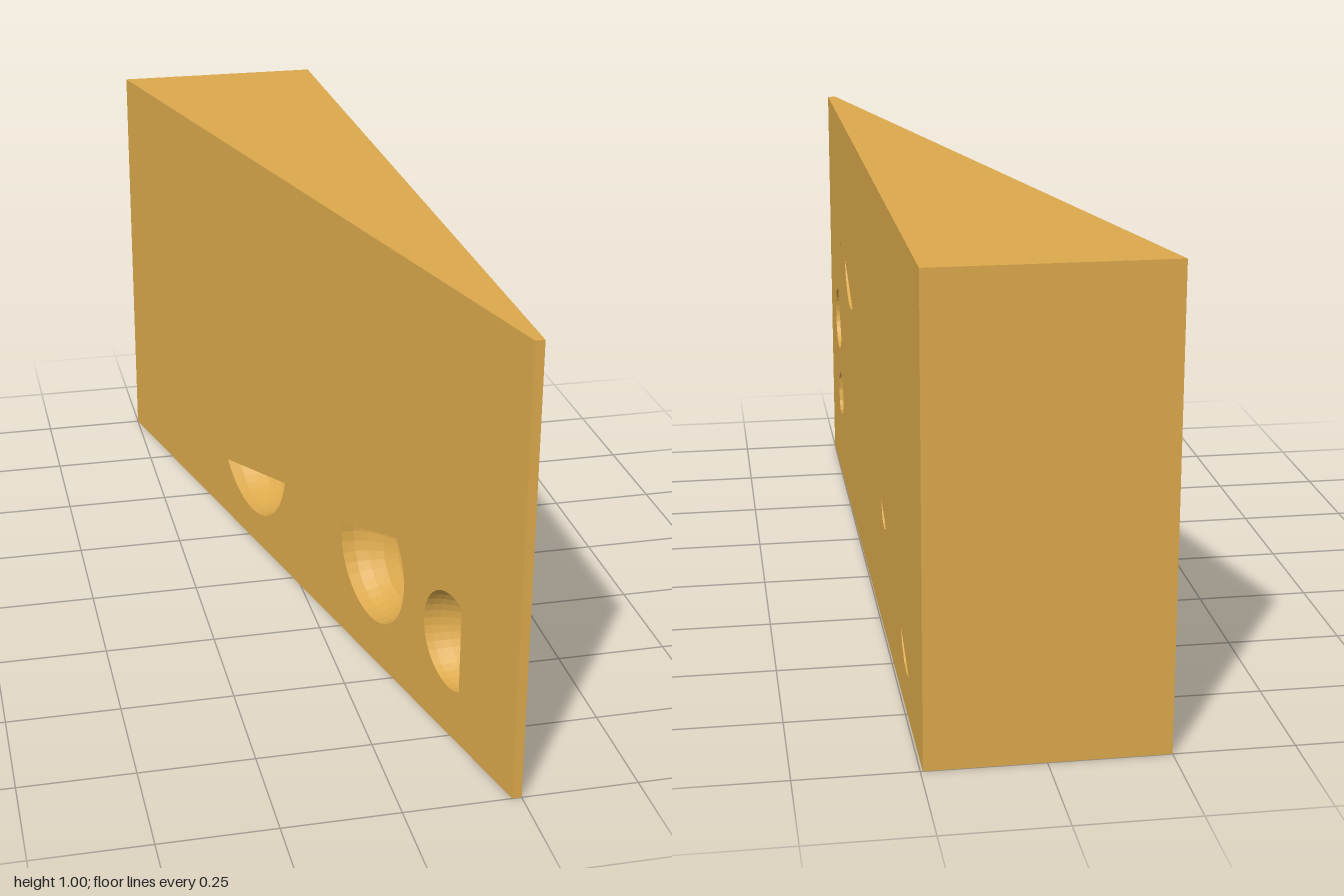
import * as THREE from 'three';

const material = new THREE.MeshStandardMaterial({ color: 0xdba94c, flatShading: true, side: THREE.DoubleSide });

// Wedge footprint as [x, z] corners
const BACK_RIGHT = [-0.25, -1], FRONT_RIGHT = [0.23, 1], FRONT_LEFT = [0.25, 1], BACK_LEFT = [0.245, -1];

function mesh(name, geometry) {
  const m = new THREE.Mesh(geometry, material);
  m.name = name;
  return m;
}

// Frame of an upright face running from footprint corner p to q, outward normal on local z
function faceFrame(p, q) {
  const u = new THREE.Vector3(q[0] - p[0], 0, q[1] - p[1]).normalize();
  const v = new THREE.Vector3(0, 1, 0);
  return new THREE.Matrix4().makeBasis(u, v, u.clone().cross(v)).setPosition(p[0], 0, p[1]);
}

// Flat face of height 1 with hole outlines cut out
function facePanel(name, p, q, outlines = []) {
  const w = Math.hypot(q[0] - p[0], q[1] - p[1]);
  const shape = new THREE.Shape([[0, 0], [w, 0], [w, 1], [0, 1]].map(c => new THREE.Vector2(...c)));
  shape.holes = outlines.map(o => new THREE.Path(o));
  return mesh(name, new THREE.ShapeGeometry(shape).applyMatrix4(faceFrame(p, q)));
}

// Circle segment: an arc in degrees closed by a straight chord
function segmentOutline({ u, v, r, from, to, steps }) {
  const pts = [];
  for (let i = 0; i <= steps; i++) {
    const a = THREE.MathUtils.degToRad(from + (to - from) * i / steps);
    pts.push(new THREE.Vector2(u + r * Math.cos(a), v + r * Math.sin(a)));
  }
  const end = pts[steps], start = pts[0], n = Math.ceil(steps / 3);
  for (let i = 1; i < n; i++) pts.push(end.clone().lerp(start, i / n));
  return pts;
}

// Surface through closed rings of equal point count
function loft(rings) {
  const n = rings[0].length, index = [];
  for (let k = 0; k < rings.length - 1; k++) {
    for (let i = 0; i < n; i++) {
      const a = k * n + i, b = k * n + (i + 1) % n;
      index.push(a, b, a + n, b, b + n, a + n);
    }
  }
  const g = new THREE.BufferGeometry().setFromPoints(rings.flat());
  g.setIndex(index);
  g.computeVertexNormals();
  return g;
}

// Spherical bubble sunk into a face, with a straight wall along its chord
function cavity(name, hole, frame) {
  const outline = segmentOutline(hole);
  const apex = outline.reduce((s, p) => s.add(p), new THREE.Vector2()).divideScalar(outline.length);
  const rings = [outline.map(p => new THREE.Vector3(p.x, p.y, 0))];
  for (const s of [1, 0.97, 0.88, 0.72, 0.5, 0.25, 0]) {
    rings.push(outline.map(p => {
      const c = apex.clone().lerp(p, s);
      const rho = Math.hypot(c.x - hole.u, c.y - hole.v) / hole.r;
      return new THREE.Vector3(c.x, c.y, -hole.depth * Math.sqrt(Math.max(0, 1 - rho * rho)));
    }));
  }
  return mesh(name, loft(rings).applyMatrix4(frame));
}

export function createModel() {
  const group = new THREE.Group();
  group.name = 'cheeseWedge';

  const slantFrame = faceFrame(BACK_RIGHT, FRONT_RIGHT);
  const sideFrame = faceFrame(FRONT_LEFT, BACK_LEFT);

  // Bubbles in the slanted face and in the straight side face
  const slantHoles = [
    { u: 0.793, v: 0.273, r: 0.193, from: -142, to: -11, steps: 18, depth: 0.15 },
    { u: 1.436, v: 0.25, r: 0.15, from: 172, to: 403, steps: 24, depth: 0.12 },
  ];
  const sideHoles = [
    { u: 0.215, v: 0.432, r: 0.081, from: 86, to: 334, steps: 24, depth: 0.05 },
    { u: 0.575, v: 0.698, r: 0.143, from: 198, to: 297, steps: 14, depth: 0.1 },
    { u: 1.335, v: 0.304, r: 0.055, from: 180, to: 310, steps: 4, depth: 0.05 },
    { u: 1.74, v: 0.19, r: 0.103, from: 203, to: 293, steps: 4, depth: 0.08 },
    { u: 0.276, v: 0.694, r: 0.054, from: -64, to: 6, steps: 3, depth: 0.04 },
  ];

  // Bubble near the thin end that breaks through both faces
  const through = { u: 1.787, v: 0.223, r: 0.11, from: 66, to: 294, steps: 24 };
  const slantRim = segmentOutline(through);
  const sideRim = slantRim.map(p => {
    const a = Math.PI - Math.atan2(p.y - through.v, p.x - through.u);
    return new THREE.Vector2(0.255 + 0.063 * Math.cos(a), 0.227 + 0.063 * Math.sin(a));
  });
  const toWorld = (p, frame) => new THREE.Vector3(p.x, p.y, 0).applyMatrix4(frame);
  const rings = [];
  for (let k = 0; k <= 6; k++) {
    const t = k / 6, d = 0.088 * t;
    const squeeze = (0.108 - Math.sqrt(0.108 ** 2 - d * d)) / (0.108 - Math.sqrt(0.108 ** 2 - 0.088 ** 2));
    rings.push(slantRim.map((p, i) => {
      const a = toWorld(p, slantFrame), b = toWorld(sideRim[i], sideFrame);
      const c = a.clone().lerp(b, squeeze);
      c.x = THREE.MathUtils.lerp(a.x, b.x, t);
      return c;
    }));
  }
  group.add(mesh('throughHole', loft(rings)));

  // Upright faces
  group.add(
    facePanel('slantedFace', BACK_RIGHT, FRONT_RIGHT, [...slantHoles.map(segmentOutline), slantRim]),
    facePanel('sideFace', FRONT_LEFT, BACK_LEFT, [...sideHoles.map(segmentOutline), sideRim]),
    facePanel('frontEdge', FRONT_RIGHT, FRONT_LEFT),
    facePanel('backRind', BACK_LEFT, BACK_RIGHT),
  );

  // Top and bottom
  const footprint = [BACK_RIGHT, FRONT_RIGHT, FRONT_LEFT, BACK_LEFT];
  const cap = flip => new THREE.ShapeGeometry(new THREE.Shape(footprint.map(([x, z]) => new THREE.Vector2(x, flip * z))));
  group.add(
    mesh('top', cap(-1).rotateX(-Math.PI / 2).translate(0, 1, 0)),
    mesh('bottom', cap(1).rotateX(Math.PI / 2)),
  );

  // Bubble walls
  slantHoles.forEach((h, i) => group.add(cavity(`slantedFaceHole${i + 1}`, h, slantFrame)));
  sideHoles.forEach((h, i) => group.add(cavity(`sideFaceHole${i + 1}`, h, sideFrame)));

  return group;
}
